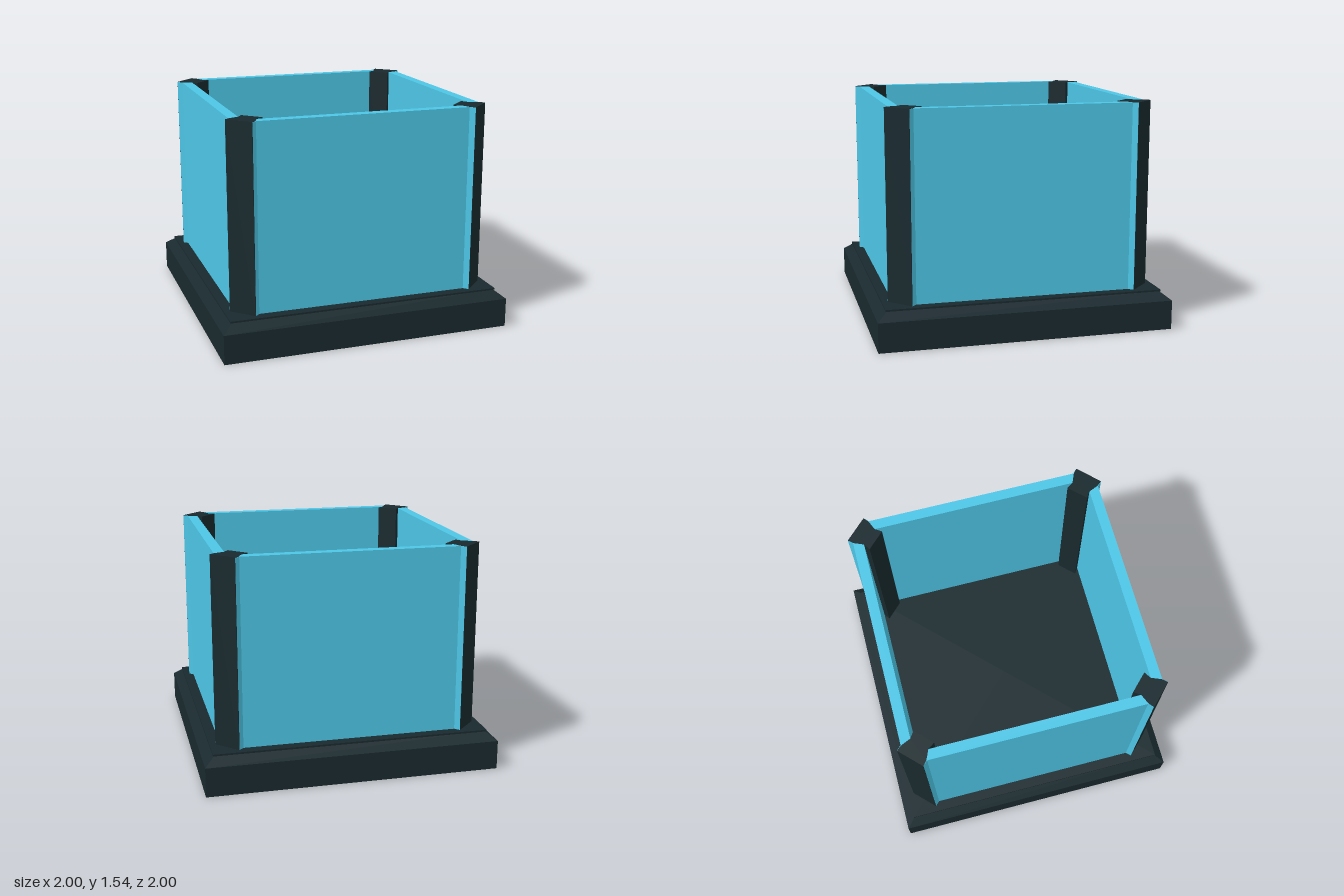
import * as THREE from 'three';

const FLOOR = 0.265, TOP = 1.54;

// Upright prism from a plan outline of [x, z] points.
function prism(points, y0, y1) {
  const shape = new THREE.Shape(points.map(([x, z]) => new THREE.Vector2(x, -z)));
  const geo = new THREE.ExtrudeGeometry(shape, { depth: y1 - y0, bevelEnabled: false });
  geo.rotateX(-Math.PI / 2);
  geo.translate(0, y0, 0);
  return geo;
}

// Square slab, with its own half-width at the bottom and the top.
function slab(bottom, top, y0, y1) {
  const geo = new THREE.CylinderGeometry(top * Math.SQRT2, bottom * Math.SQRT2, y1 - y0, 4);
  geo.rotateY(Math.PI / 4);
  geo.translate(0, (y0 + y1) / 2, 0);
  return geo;
}

export function createModel() {
  const model = new THREE.Group();
  const dark = new THREE.MeshStandardMaterial({ color: 0x19292e, flatShading: true });
  const blue = new THREE.MeshStandardMaterial({ color: 0x4dc6e6, flatShading: true });

  function add(name, geo, material, parent = model) {
    const mesh = new THREE.Mesh(geo, material);
    mesh.name = name;
    parent.add(mesh);
    return mesh;
  }

  // Stepped base: plinth, sloped shoulder and thin floor plate
  const base = new THREE.Group();
  base.name = 'base';
  model.add(base);
  add('plinth', slab(1, 1, 0, 0.2), dark, base);
  add('shoulder', slab(1, 0.93, 0.2, 0.255), dark, base);
  add('floorPlate', slab(0.94, 0.94, 0.253, FLOOR), dark, base);

  // Corner post: one half of the outline, mirrored across the diagonal
  const half = [[0.66, 0.77], [0.705, 0.80], [0.735, 0.87], [0.762, 0.90]];
  const mirrored = half.map(([x, z]) => [z, x]).reverse();
  const postGeo = prism([...half, ...mirrored], FLOOR - 0.01, TOP);

  // Wall panel, flaring at its ends to cover the outer sides of the posts
  const end = [[0.705, 0.80], [0.76, 0.90], [0.73, 0.87]];
  const panelGeo = prism(
    [...end, ...end.map(([x, z]) => [-x, z]).reverse()],
    FLOOR - 0.01, TOP - 0.002
  );

  ['front', 'left', 'back', 'right'].forEach((side, i) => {
    add(side + 'Panel', panelGeo, blue).rotation.y = i * Math.PI / 2;
    add('cornerPost' + (i + 1), postGeo, dark).rotation.y = i * Math.PI / 2;
  });

  return model;
}
